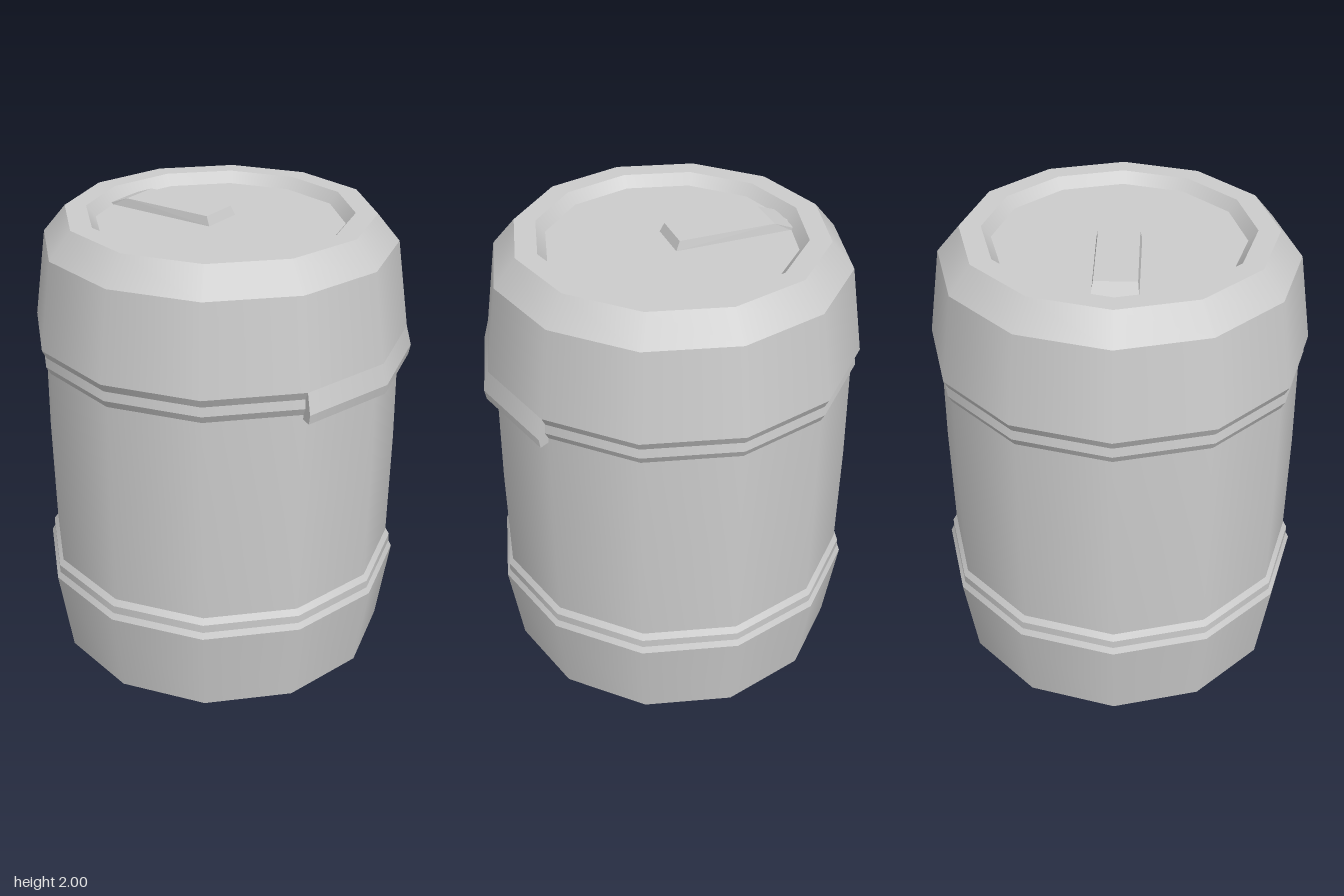
import * as THREE from 'three';
import { mergeGeometries } from 'three/addons/utils/BufferGeometryUtils.js';

const SIDES = 12;
const CENTRE_X = -0.012;
const FLOOR = 1.955; // recessed lid floor

const grey = new THREE.MeshStandardMaterial({ color: 0xcccccc });
const thin = new THREE.MeshStandardMaterial({ color: 0xcccccc, side: THREE.DoubleSide });

const vectors = (points) => points.map(([x, y]) => new THREE.Vector2(x, y));

// One lathe per band: smooth around the barrel, sharp between bands
function banded(profile, segments = SIDES, start = 0, length = Math.PI * 2) {
  const bands = profile.slice(1).map((p, i) =>
    new THREE.LatheGeometry(vectors([profile[i], p]), segments, start, length));
  return mergeGeometries(bands);
}

function add(group, name, geometry, material = grey) {
  const mesh = new THREE.Mesh(geometry, material);
  mesh.name = name;
  group.add(mesh);
  return mesh;
}

export function createModel() {
  const barrel = new THREE.Group();
  barrel.name = 'barrel';

  // Base with recessed underside and stepped collar
  add(barrel, 'base', banded([
    [0, 0.03], [0.52, 0.03], [0.54, 0], [0.605, 0], [0.72, 0.08],
    [0.775, 0.45], [0.762, 0.475], [0.762, 0.51], [0.745, 0.535],
  ]));

  // Slightly bulging wall
  add(barrel, 'wall', new THREE.LatheGeometry(
    vectors([[0.745, 0.535], [0.75, 1], [0.745, 1.42]]), SIDES));

  // Grooved collar, lid skirt, rim and recessed top
  add(barrel, 'lid', banded([
    [0.745, 1.42], [0.762, 1.452], [0.757, 1.49], [0.775, 1.525],
    [0.722, 1.89], [0.63, 2], [0.542, 2], [0.505, FLOOR], [0, FLOOR],
  ]));

  // Latch flap: two sides of the skirt carried lower on +x
  const latch = new THREE.Group();
  latch.name = 'latch';
  const flap = [[0.74, 1.4], [0.79, 1.4], [0.797, 1.44], [0.775, 1.525]];
  add(latch, 'latchFlap', banded(flap, 2, Math.PI / 3, Math.PI / 3), thin);
  const capShape = new THREE.Shape(vectors([...flap, [0.74, 1.525]]));
  for (const side of [-1, 1]) {
    const cap = new THREE.ShapeGeometry(capShape).rotateY(side * Math.PI / 6);
    add(latch, 'latchEnd', cap, thin);
  }
  barrel.add(latch);

  // Pull tab on the lid, ramping down to the rim
  const tabShape = new THREE.Shape(vectors([
    [-0.495, FLOOR - 0.01], [0.012, FLOOR - 0.01], [0.012, FLOOR],
    [-0.005, 1.992], [-0.41, 1.992], [-0.495, FLOOR + 0.005],
  ]));
  const tab = new THREE.ExtrudeGeometry(tabShape, { depth: 0.18, bevelEnabled: false });
  tab.translate(0, 0, -0.09);
  // Lean the long sides inward toward the top
  const pos = tab.attributes.position;
  for (let i = 0; i < pos.count; i++) {
    if (pos.getY(i) > 1.98) pos.setZ(i, pos.getZ(i) * 0.92);
  }
  tab.computeVertexNormals();
  add(barrel, 'pullTab', tab);

  barrel.position.x = CENTRE_X;
  const model = new THREE.Group();
  model.name = 'barrelModel';
  model.add(barrel);
  return model;
}
